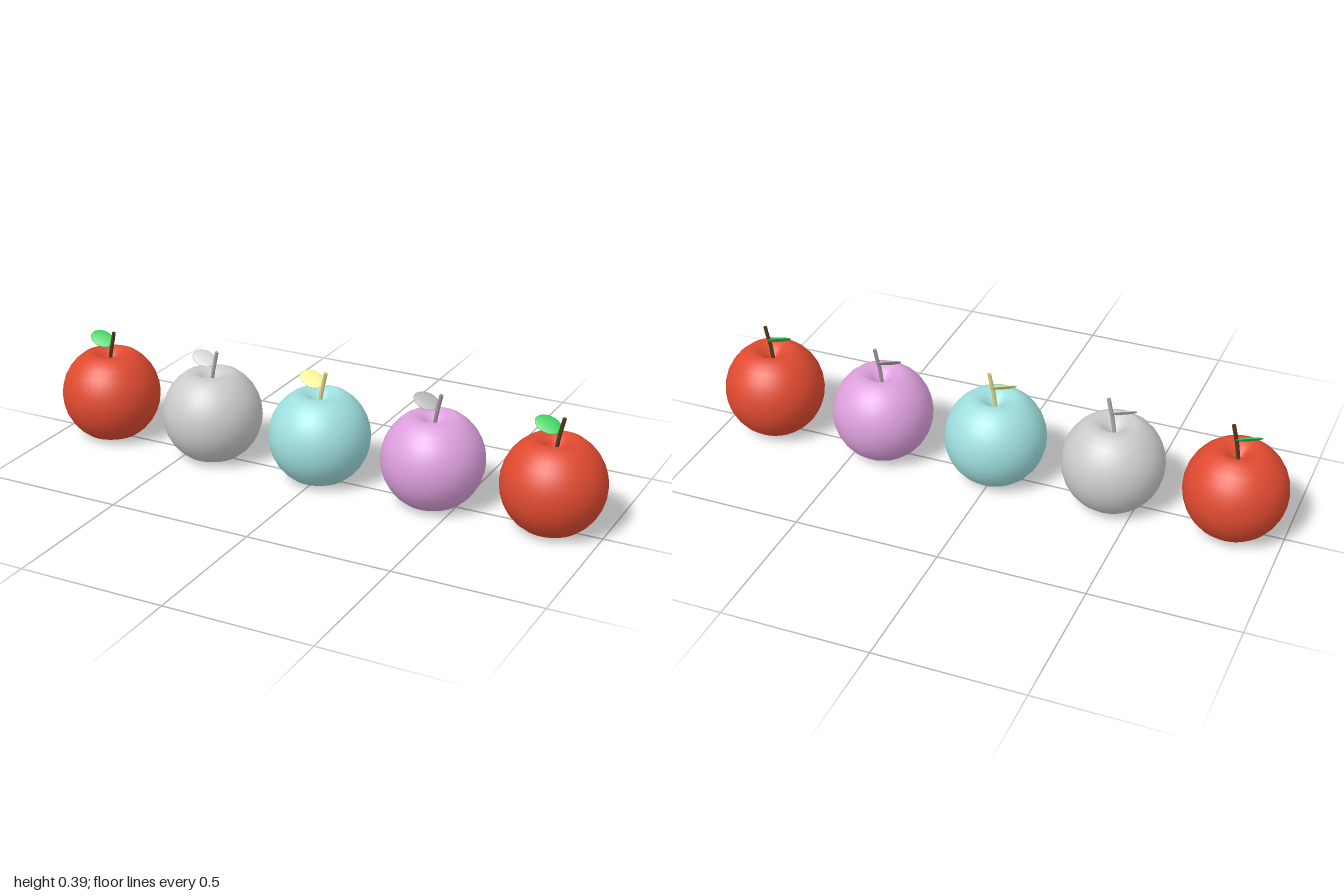
import * as THREE from 'three';

const R = 0.172, CENTER_Y = 0.156, RINGS = 16;

// Body profile: a sphere whose poles sink into dimples
function bodyGeometry() {
  const pts = [];
  for (let i = 0; i <= RINGS; i++) {
    const a = Math.PI * i / RINGS;
    const fromPole = Math.min(i, RINGS - i);
    const sink = [0.066, 0.034, 0.004][fromPole] ?? 0;
    const y = -Math.cos(a) * R;
    pts.push(new THREE.Vector2(Math.max(0, Math.sin(a) * R), CENTER_Y + y - Math.sign(y) * sink));
  }
  pts[0].x = pts[RINGS].x = 0;
  return new THREE.LatheGeometry(pts, 40);
}

// Slightly bent stem, rising from the top dimple
const stemPath = new THREE.CatmullRomCurve3([
  new THREE.Vector3(0.0, 0.25, 0.005),
  new THREE.Vector3(0.012, 0.32, 0.009),
  new THREE.Vector3(0.018, 0.35, 0.007),
  new THREE.Vector3(0.027, 0.387, 0.009),
]);

// Flattened leaf, long axis to the side, tilted up toward the back
function leafMatrix() {
  const long = new THREE.Vector3(-0.95, 0.32, 0).normalize();
  const wide = new THREE.Vector3(0, 0.59, -0.81);
  wide.addScaledVector(long, -wide.dot(long)).normalize();
  const normal = new THREE.Vector3().crossVectors(long, wide);
  return new THREE.Matrix4().makeBasis(long, wide, normal)
    .scale(new THREE.Vector3(0.045, 0.031, 0.005))
    .setPosition(-0.029, 0.352, -0.001);
}

export function createModel() {
  const model = new THREE.Group();
  model.name = 'appleRow';

  const body = bodyGeometry();
  const stem = new THREE.TubeGeometry(stemPath, 8, 0.0065, 10);
  const stemCap = new THREE.CircleGeometry(0.0065, 10);
  const leaf = new THREE.SphereGeometry(1, 24, 14).applyMatrix4(leafMatrix());

  // Body, stem and leaf colours from right to left
  const red = [0xe04a30, 0x50391c, 0x2ecc55];
  const palettes = [
    red,
    [0xc4c4c4, 0xa8a8a8, 0xc0c0c0],
    [0x9fdfdf, 0xd8cf80, 0xf0ec8c],
    [0xdda0dd, 0x9a909a, 0xa9a9a9],
    red,
  ];

  palettes.forEach((colors, i) => {
    const apple = new THREE.Group();
    apple.name = 'apple' + (i + 1);
    apple.position.x = (i - 2) * 0.414;
    const [bodyMat, stemMat, leafMat] = colors.map(color => new THREE.MeshStandardMaterial({ color }));
    const add = (name, geometry, material) => {
      const mesh = new THREE.Mesh(geometry, material);
      mesh.name = name;
      apple.add(mesh);
      return mesh;
    };
    add('body', body, bodyMat);
    add('stem', stem, stemMat);
    const cap = add('stemEnd', stemCap, stemMat);
    cap.position.copy(stemPath.getPoint(1));
    cap.quaternion.setFromUnitVectors(new THREE.Vector3(0, 0, 1), stemPath.getTangent(1));
    add('leaf', leaf, leafMat);
    model.add(apple);
  });

  return model;
}
